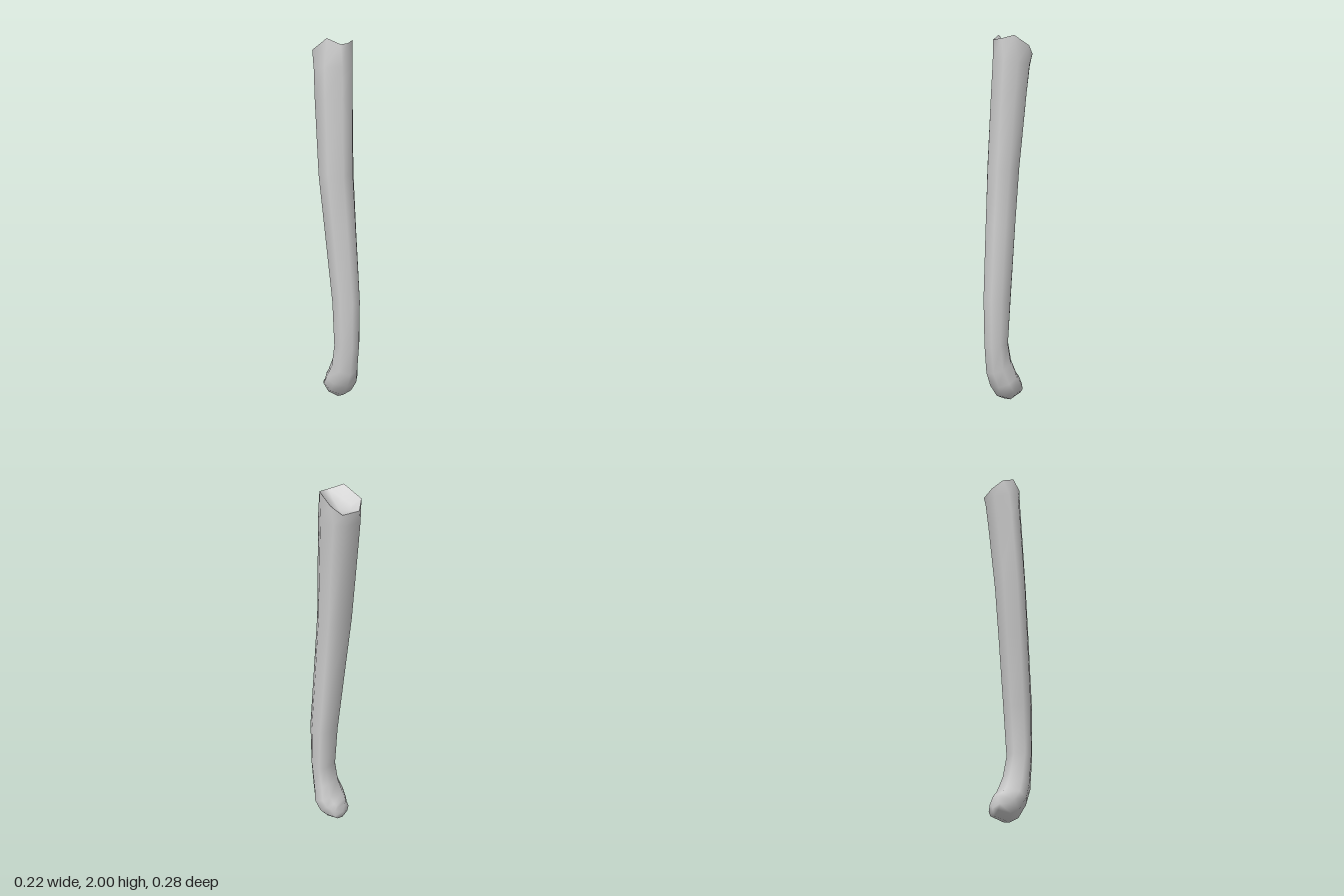
import * as THREE from 'three';

// Unit outline of a cross-section (x fraction left to right, z fraction back to front)
const OUTLINE = [[0.45, 1], [0.8, 0.92], [1, 0.6], [0.96, 0.18], [0.75, 0], [0.25, 0], [0, 0.36], [0.1, 0.72]];
const SIDES = OUTLINE.length;

// Ring from x limits and its front and back edge (z, y), so it may tilt
const ring = ([x0, x1, zf, yf, zb, yb]) => OUTLINE.map(([u, v]) => [
  x0 + (x1 - x0) * u, yb + (yf - yb) * v, zb + (zf - zb) * v]);

// Uneven rim around the hollow upper end
const RIM = [[-0.02, 1.97, 0.055], [0.035, 1.975, 0.04], [0.088, 1.99, 0], [0.098, 1.94, -0.09],
  [0.065, 1.9, -0.138], [-0.04, 1.9, -0.143], [-0.095, 1.94, -0.1], [-0.062, 2, -0.01]];

// Shaft stations, top to bottom, then the bend and backward-turned foot
const SHAFT = [
  [-0.108, 0.098, 0.062, 1.86, -0.135, 1.84],
  [-0.112, 0.094, 0.07, 1.7, -0.118, 1.7],
  [-0.112, 0.082, 0.09, 1.3, -0.075, 1.3],
  [-0.092, 0.084, 0.112, 1, -0.046, 1],
  [-0.066, 0.09, 0.14, 0.6, -0.008, 0.6],
  [-0.06, 0.086, 0.136, 0.34, 0.01, 0.35],
  [-0.065, 0.086, 0.122, 0.18, -0.012, 0.24],
  [-0.085, 0.106, 0.095, 0.1, -0.04, 0.165],
  [-0.08, 0.098, 0.05, 0.03, -0.065, 0.135],
  [-0.066, 0.08, 0.0, 0.003, -0.076, 0.12],
  [-0.048, 0.062, -0.086, 0.025, -0.08, 0.105]];

// Skin a list of rings, optionally closing the last one to a point
function skin(rings, tip) {
  const pos = rings.flat(2), idx = [];
  for (let i = 0; i < rings.length - 1; i++) {
    for (let j = 0; j < SIDES; j++) {
      const a = i * SIDES + j, b = i * SIDES + (j + 1) % SIDES;
      idx.push(a, a + SIDES, b, b, a + SIDES, b + SIDES);
    }
  }
  const last = (rings.length - 1) * SIDES;
  pos.push(...tip);
  for (let j = 0; j < SIDES; j++) idx.push(last + j, last + SIDES, last + (j + 1) % SIDES);
  const geometry = new THREE.BufferGeometry();
  geometry.setAttribute('position', new THREE.Float32BufferAttribute(pos, 3));
  geometry.setIndex(idx);
  geometry.computeVertexNormals();
  return geometry;
}

export function createModel() {
  const group = new THREE.Group();
  group.name = 'limb';
  const material = new THREE.MeshStandardMaterial({ color: 0xcccccc, side: THREE.DoubleSide });
  const add = (name, geometry) => {
    const mesh = new THREE.Mesh(geometry, material);
    mesh.name = name;
    group.add(mesh);
  };

  // Shaft running into the bent foot
  add('shaftAndFoot', skin([RIM, ...SHAFT.map(ring)], [0.008, 0.065, -0.09]));

  // Shallow hollow in the upper end; the ring order makes its faces look up
  const bottom = [0.015, 1.9, -0.06];
  const inner = RIM.map(p => p.map((c, k) => c + (bottom[k] - c) * (k === 1 ? 0.6 : 0.45)));
  const hollow = skin([RIM, inner], bottom);
  hollow.index.array.reverse();
  hollow.computeVertexNormals();
  add('upperHollow', hollow);

  return group;
}
